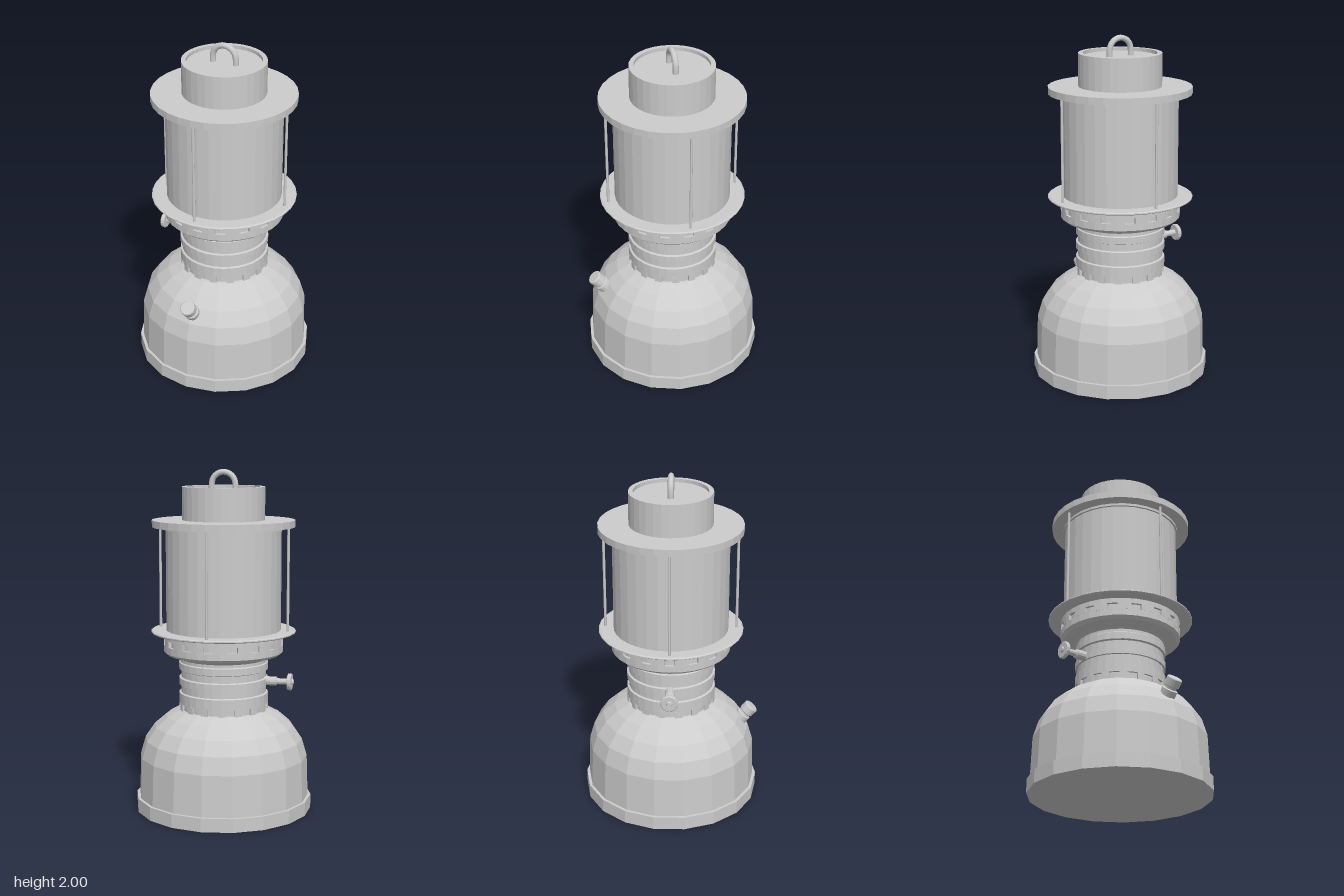
import * as THREE from 'three';

const flat = new THREE.MeshStandardMaterial({ color: 0xcccccc, flatShading: true });
const smooth = new THREE.MeshStandardMaterial({ color: 0xcccccc });

export function createModel() {
  const model = new THREE.Group();

  const add = (name, geometry, parent = model, material = flat) => {
    const mesh = new THREE.Mesh(geometry, material);
    mesh.name = name;
    parent.add(mesh);
    return mesh;
  };
  // Turned part from [radius, height] pairs, listed upwards on the outside
  const turned = (name, profile, sides = 32, parent = model) =>
    add(name, new THREE.LatheGeometry(profile.map(([r, y]) => new THREE.Vector2(r, y)), sides), parent);

  // Ring of curved blocks that leaves 16 open slots between them
  const slottedRing = (name, inner, outer, y0, y1, halfSlot) => {
    const ring = new THREE.Group();
    ring.name = name;
    const step = Math.PI / 8;
    const a0 = halfSlot / outer, a1 = step - a0;
    const shape = new THREE.Shape();
    shape.absarc(0, 0, outer, a0, a1, false);
    shape.absarc(0, 0, inner, a1, a0, true);
    const block = new THREE.ExtrudeGeometry(shape, { depth: y1 - y0, bevelEnabled: false, curveSegments: 3 });
    block.rotateX(-Math.PI / 2);
    for (let i = 0; i < 16; i++) {
      const mesh = add('ringBlock', block, ring);
      mesh.rotation.y = i * step;
      mesh.position.y = y0;
    }
    model.add(ring);
  };

  // Fuel tank with foot band
  turned('tankFoot', [[0, 0], [0.52, 0], [0.52, 0.08], [0.5, 0.08]], 18);
  turned('tank', [[0.505, 0.07], [0.503, 0.08], [0.495, 0.32], [0.465, 0.42], [0.41, 0.5],
    [0.34, 0.56], [0.265, 0.6], [0.2, 0.61]], 18);

  // Ribbed neck, with a recess at the bottom for the slotted ring
  turned('neck', [[0.25, 0.58], [0.25, 0.64], [0.262, 0.64], [0.262, 0.7], [0.25, 0.705], [0.25, 0.75],
    [0.262, 0.75], [0.262, 0.79], [0.25, 0.795], [0.25, 0.835], [0.262, 0.84], [0.262, 0.88],
    [0.255, 0.885], [0.255, 0.92]]);
  slottedRing('neckSlots', 0.245, 0.262, 0.595, 0.64, 0.03);

  // Burner collar, recessed behind its slotted ring
  turned('collar', [[0.25, 0.9], [0.27, 0.91], [0.33, 0.928], [0.35, 0.945], [0.35, 0.985], [0.335, 0.985],
    [0.335, 1.02], [0.35, 1.02], [0.35, 1.05], [0.33, 1.06]]);
  slottedRing('collarSlots', 0.33, 0.35, 0.985, 1.02, 0.03);
  turned('lowerFlange', [[0.33, 1.055], [0.415, 1.055], [0.423, 1.06], [0.423, 1.066], [0.415, 1.071], [0, 1.071]]);

  // Globe, its top seat and the guard rods
  turned('globe', [[0.336, 1.065], [0.336, 1.68]]);
  turned('globeSeat', [[0.33, 1.655], [0.347, 1.655], [0.347, 1.675]]);
  for (let i = 0; i < 4; i++) {
    const a = i * Math.PI / 2;
    const rod = add('guardRod', new THREE.CylinderGeometry(0.008, 0.008, 0.62, 8), model, smooth);
    rod.position.set(0.383 * Math.sin(a), 1.37, 0.383 * Math.cos(a));
  }

  // Hood plate and chimney with a sunken lid
  turned('hoodPlate', [[0, 1.67], [0.415, 1.67], [0.415, 1.71], [0, 1.71]]);
  turned('chimney', [[0.24, 1.71], [0.24, 1.9], [0.213, 1.9], [0.213, 1.88], [0, 1.88]]);

  // Carrying loop
  const loop = [new THREE.Vector3(-0.07, 1.87, 0)];
  for (let i = 0; i <= 10; i++) {
    const a = Math.PI * (1 - i / 10);
    loop.push(new THREE.Vector3(0.07 * Math.cos(a), 1.913 + 0.07 * Math.sin(a), 0));
  }
  loop.push(new THREE.Vector3(0.07, 1.87, 0));
  add('topLoop', new THREE.TubeGeometry(new THREE.CatmullRomCurve3(loop), 28, 0.017, 10), model, smooth);

  // Valve on the right of the neck: nut, stem, wheel
  const valve = new THREE.Group();
  valve.name = 'valve';
  turned('valveStem', [[0.027, 0], [0.027, 0.075], [0.018, 0.08], [0.018, 0.148]], 12, valve);
  turned('valveWheel', [[0, 0.143], [0.045, 0.143], [0.05, 0.148], [0.05, 0.162], [0.045, 0.167],
    [0.018, 0.167], [0.014, 0.177], [0, 0.177]], 16, valve);
  valve.position.set(-0.243, 0.775, 0);
  valve.rotation.z = Math.PI / 2;
  model.add(valve);

  // Filler cap leaning out of the front of the tank
  const filler = new THREE.Group();
  filler.name = 'fillerCap';
  turned('fillerNeck', [[0.045, -0.06], [0.045, 0.035], [0.034, 0.04], [0.034, 0.055]], 16, filler);
  turned('fillerKnob', [[0.034, 0.05], [0.044, 0.056], [0.044, 0.1], [0.038, 0.105], [0, 0.105]], 16, filler);
  filler.position.set(0, 0.469, 0.418);
  filler.rotation.x = 0.72;
  model.add(filler);

  return model;
}
